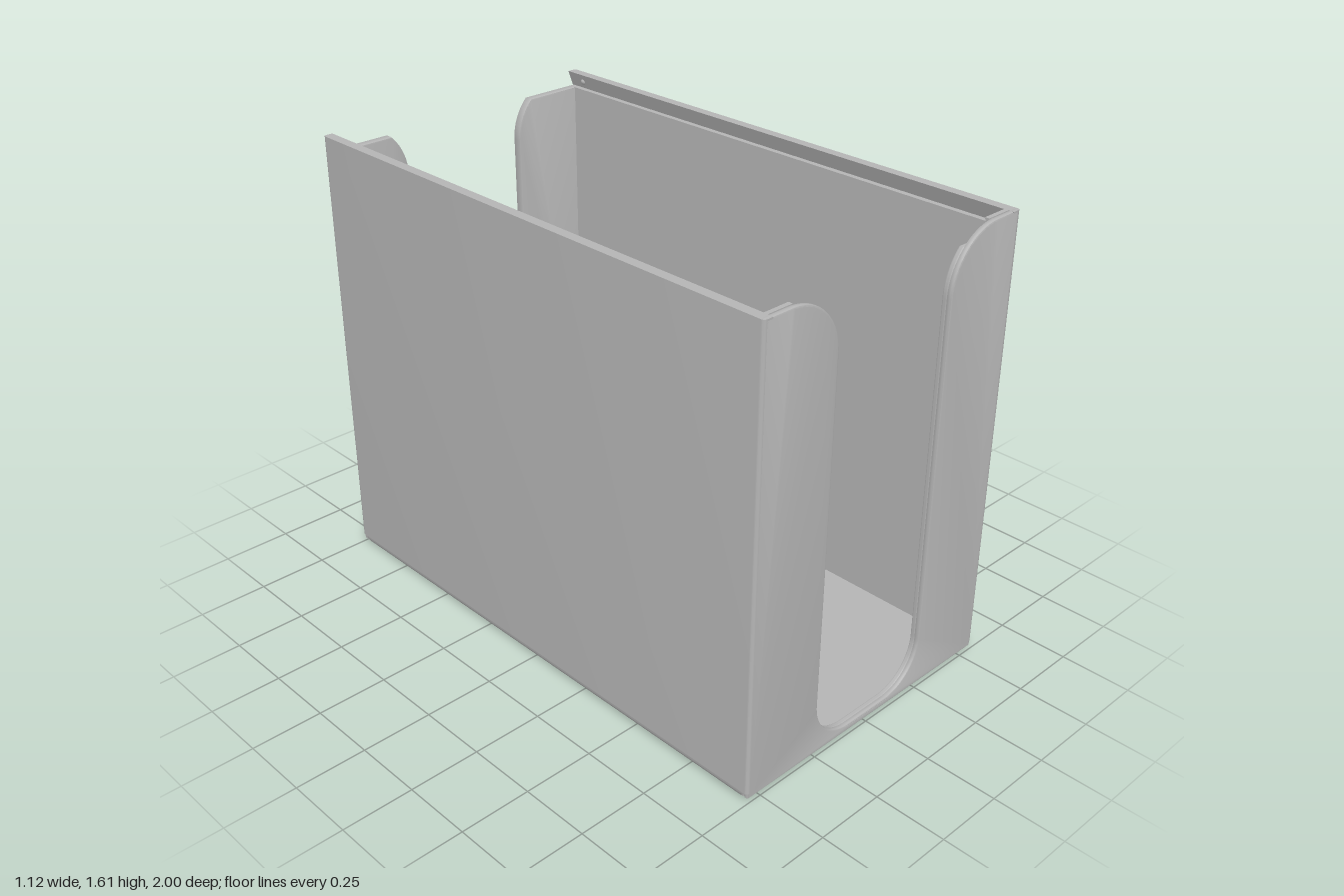
import * as THREE from 'three';
import { toCreasedNormals } from 'three/addons/utils/BufferGeometryUtils.js';
import { RoundedBoxGeometry } from 'three/addons/geometries/RoundedBoxGeometry.js';

const W = 0.56, H = 1.61, D = 1;      // half width, height, half depth
const WALL = 0.035, FLOOR = 0.035;
const LEDGE = 1.555;                  // bottom of the lid groove
const GROOVE = 0.545;                 // x of the groove's outer face
const BEVEL = 0.006;

// End panel outline: a U with a rounded slot, cut off at the given height
function panelShape(top) {
  const x = W - 0.006, bottom = 0.016, r = 0.2, cx = 0.45, cy = H - r;
  const end = Math.PI - Math.asin(Math.min(1, (top - cy) / r));
  const s = new THREE.Shape();
  s.moveTo(-x, bottom);
  s.lineTo(x, bottom);
  s.lineTo(x, top);
  s.absarc(cx, cy, r, end, Math.PI, false);
  s.absarc(0.09, 0.2, 0.16, 0, -Math.PI / 2, true);
  s.absarc(-0.09, 0.2, 0.16, -Math.PI / 2, -Math.PI, true);
  s.absarc(-cx, cy, r, 0, Math.PI - end, false);
  s.lineTo(-x, top);
  s.closePath();
  return s;
}

// Panel with softly rounded edges, spanning z0 to z1
function panel(top, z0, z1) {
  const g = new THREE.ExtrudeGeometry(panelShape(top), {
    depth: z1 - z0 - 2 * BEVEL, bevelThickness: BEVEL, bevelSize: BEVEL,
    bevelOffset: -BEVEL, bevelSegments: 2, curveSegments: 16,
  });
  g.translate(0, 0, z0 + BEVEL);
  return toCreasedNormals(g, 0.6);
}

function prism(points, depth) {
  const shape = new THREE.Shape(points.map(([x, y]) => new THREE.Vector2(x, y)));
  return new THREE.ExtrudeGeometry(shape, { depth, bevelEnabled: false });
}

export function createModel() {
  const model = new THREE.Group();
  model.name = 'openHolder';
  const grey = new THREE.MeshStandardMaterial({ color: 0xb4b4b4 });
  grey.name = 'grey plastic';
  const add = (name, geometry, parent = model) => {
    const m = new THREE.Mesh(geometry, grey);
    m.name = name;
    parent.add(m);
    return m;
  };

  // Base plate: rounded box flattened at floor level
  const base = new RoundedBoxGeometry(2 * W, 0.2, 2 * D, 4, 0.035);
  base.translate(0, 0.1, 0);
  const p = base.attributes.position;
  for (let i = 0; i < p.count; i++) p.setY(i, Math.min(p.getY(i), FLOOR));
  add('base', toCreasedNormals(base, 0.6));

  // End panels: the front has a groove behind its top edge, the back is cut low for the lid
  add('frontPanelOuter', panel(H, D - 0.02, D));
  add('frontPanelInner', panel(LEDGE, D - WALL, D - 0.015));
  add('backPanel', panel(LEDGE, -D, -D + WALL));

  for (const s of [1, -1]) {
    const side = new THREE.Group();
    side.name = s > 0 ? 'leftWall' : 'rightWall';
    model.add(side);

    // Outer skin with rounded vertical edges
    const r = 0.012, plan = new THREE.Shape();
    plan.moveTo(s * GROOVE, -D);
    plan.lineTo(s * (W - r), -D);
    plan.quadraticCurveTo(s * W, -D, s * W, -D + r);
    plan.lineTo(s * W, D - r);
    plan.quadraticCurveTo(s * W, D, s * (W - r), D);
    plan.lineTo(s * GROOVE, D);
    plan.closePath();
    const skin = new THREE.ExtrudeGeometry(plan, {
      depth: H - FLOOR, bevelEnabled: false, curveSegments: 4,
    });
    skin.rotateX(-Math.PI / 2).translate(0, FLOOR, 0);
    add('wallSkin', toCreasedNormals(skin, 0.6), side);

    // Inner layer, whose top is the ledge the lid slides on
    const inner = add('wallInner', new THREE.BoxGeometry(0.021, LEDGE - 0.03, 1.98), side);
    inner.position.set(s * (W - WALL + 0.0105), (LEDGE + 0.03) / 2, 0);

    // Overhanging lip above the groove
    const lip = prism([[s * (W - WALL), H], [s * GROOVE, H], [s * GROOVE, LEDGE]], 2 * D);
    add('lidLip', lip.translate(0, 0, -D), side);

    // Short lip behind the front panel's top edge
    const frontLip = prism([[D - WALL, H], [D - 0.02, H], [D - 0.02, LEDGE]], 0.115);
    frontLip.rotateY(-Math.PI / 2).translate(s > 0 ? GROOVE : -0.43, 0, 0);
    add('frontLip', frontLip, side);

    // Small catch that holds the lid
    const catchBump = add('lidCatch', new THREE.SphereGeometry(0.012, 12, 8), side);
    catchBump.position.set(s * 0.54, 1.582, -0.93);
  }
  return model;
}
